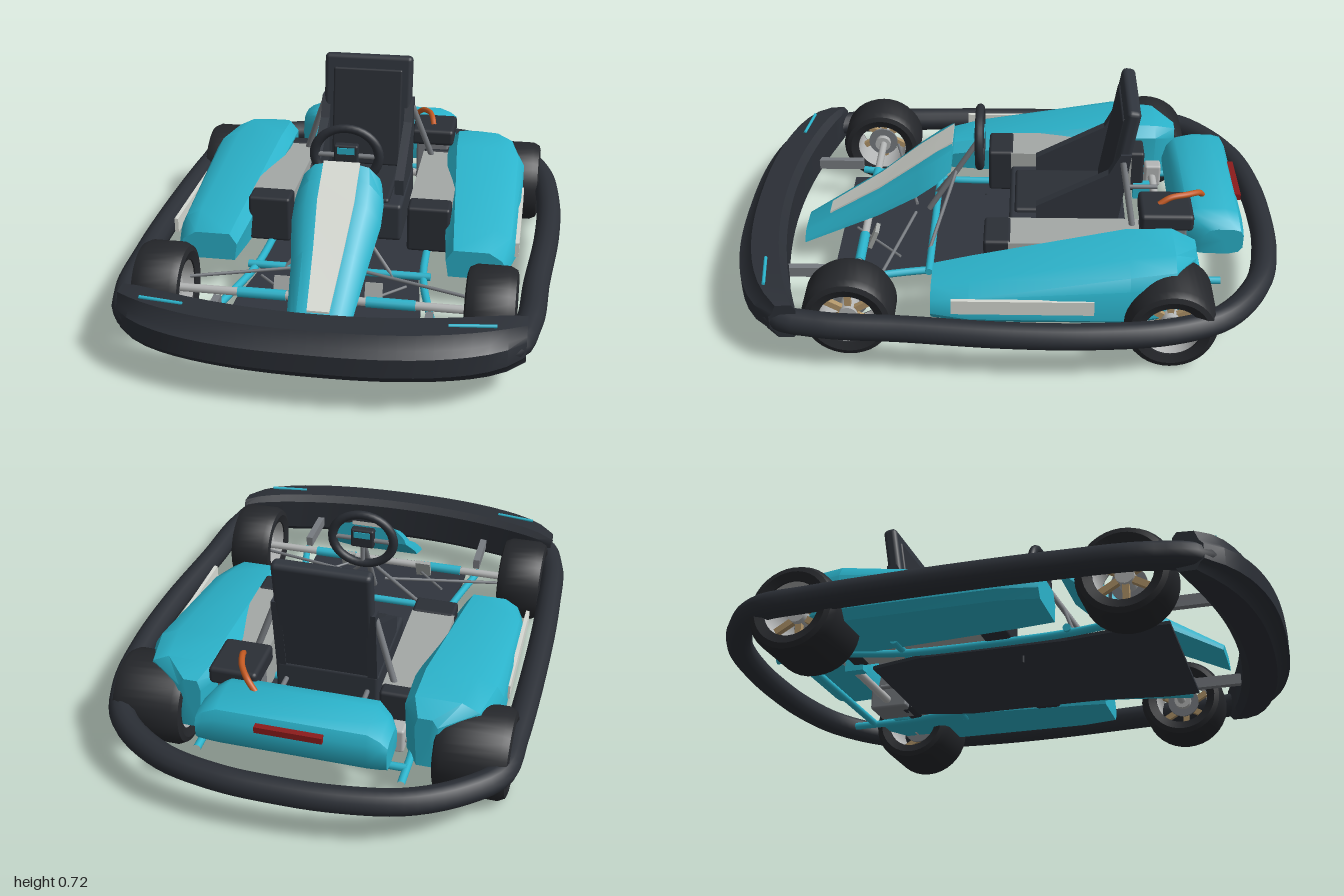
import * as THREE from 'three';
import { toCreasedNormals } from 'three/addons/utils/BufferGeometryUtils.js';
import { RoundedBoxGeometry } from 'three/addons/geometries/RoundedBoxGeometry.js';

const paint = (color) => new THREE.MeshStandardMaterial({ color });
const M = {
  cyan: paint(0x2bb3cb), black: paint(0x2b2f36), tyre: paint(0x25272b), seat: paint(0x30353d),
  grey: paint(0x777b80), steel: paint(0xb4b6b6), white: paint(0xd6d9d2), tan: paint(0xb09468),
  orange: paint(0xc45a22), red: paint(0x8c1c1c), panel: paint(0xa4a8a6),
};
const V = (x, y, z) => new THREE.Vector3(x, y, z);

function add(parent, name, geometry, material, x = 0, y = 0, z = 0) {
  const mesh = new THREE.Mesh(geometry, material);
  mesh.name = name;
  mesh.position.set(x, y, z);
  parent.add(mesh);
  return mesh;
}

// Box given by its minimum and maximum corners, with optional rounding
function box(parent, name, mat, [x0, x1], [y0, y1], [z0, z1], r = 0) {
  const w = x1 - x0, h = y1 - y0, d = z1 - z0;
  const g = r ? new RoundedBoxGeometry(w, h, d, 2, r) : new THREE.BoxGeometry(w, h, d);
  return add(parent, name, g, mat, (x0 + x1) / 2, (y0 + y1) / 2, (z0 + z1) / 2);
}

// Straight rod between two points
function rod(parent, name, mat, a, b, r) {
  const mesh = add(parent, name, new THREE.CylinderGeometry(r, r, a.distanceTo(b), 10), mat);
  mesh.position.copy(a).lerp(b, 0.5);
  mesh.quaternion.setFromUnitVectors(V(0, 1, 0), b.clone().sub(a).normalize());
  return mesh;
}

function pipe(parent, name, mat, points, r, closed = false, steps = 40) {
  const curve = new THREE.CatmullRomCurve3(points, closed, 'centripetal');
  return add(parent, name, new THREE.TubeGeometry(curve, steps, r, 12, closed), mat);
}

// Capped solid through rings of equal point count, always facing outwards
function loft(rings, crease = 0.6) {
  const tris = [], n = rings[0].length;
  for (let i = 0; i < rings.length - 1; i++) {
    for (let j = 0; j < n; j++) {
      const k = (j + 1) % n, [a, b, c, d] = [rings[i][j], rings[i][k], rings[i + 1][k], rings[i + 1][j]];
      tris.push([a, b, c], [a, c, d]);
    }
  }
  for (const [ring, flip] of [[rings[0], true], [rings.at(-1), false]]) {
    const mid = ring.reduce((s, p) => s.add(p), V(0, 0, 0)).divideScalar(n);
    ring.forEach((p, j) => tris.push(flip ? [mid, ring[(j + 1) % n], p] : [mid, p, ring[(j + 1) % n]]));
  }
  const volume = tris.reduce((s, [a, b, c]) => s + a.dot(b.clone().cross(c)), 0);
  const pts = tris.flatMap(([a, b, c]) => (volume < 0 ? [a, c, b] : [a, b, c]));
  return toCreasedNormals(new THREE.BufferGeometry().setFromPoints(pts), crease);
}

function wheel(parent, name, x, z, width, side) {
  const g = new THREE.Group(), h = width / 2, r = 0.16;
  g.name = name;
  g.position.set(x, 0.161, z);
  g.rotation.z = -side * Math.PI / 2;
  parent.add(g);
  const profile = [[0.1, -h + 0.01], [0.13, -h], [0.148, -h + 0.006], [r, -h + 0.03], [r, h - 0.03],
    [0.148, h - 0.006], [0.13, h], [0.1, h - 0.01], [0.1, -h + 0.01]].map(([a, b]) => new THREE.Vector2(a, b));
  add(g, 'tyre', toCreasedNormals(new THREE.LatheGeometry(profile, 36), 0.6), M.tyre);
  const rim = M.steel.clone();
  rim.side = THREE.DoubleSide;
  add(g, 'rimBarrel', new THREE.CylinderGeometry(0.099, 0.099, width - 0.03, 32, 1, true), rim);
  add(g, 'hub', new THREE.CylinderGeometry(0.032, 0.032, width * 0.6, 16), M.steel);
  add(g, 'brakeDisc', new THREE.CylinderGeometry(0.06, 0.06, 0.008, 24), M.grey, 0, -h * 0.3, 0);
  for (let i = 0; i < 6; i++) {
    const a = i * Math.PI / 3;
    const spoke = add(g, 'spoke', new THREE.BoxGeometry(0.075, 0.02, 0.022), M.tan, Math.cos(a) * 0.063, h * 0.35, -Math.sin(a) * 0.063);
    spoke.rotation.y = a;
  }
}

function addBumpers(root) {
  // Ring around the sides and back
  const ring = [[0, -0.955], [-0.2, -0.945], [-0.42, -0.9], [-0.58, -0.81], [-0.69, -0.69], [-0.71, -0.5], [-0.722, 0],
    [-0.715, 0.35], [-0.69, 0.65], [-0.62, 0.8], [0, 0.9], [0.62, 0.8], [0.675, 0.65], [0.695, 0.35],
    [0.722, 0], [0.723, -0.3], [0.69, -0.57], [0.61, -0.75], [0.42, -0.89], [0.2, -0.945]];
  pipe(root, 'ringBumper', M.black, ring.map(([x, z]) => V(x, 0.181, z)), 0.046, true, 140);
  // Deep front bumper
  const rings = [];
  for (let i = 0; i <= 24; i++) {
    const t = i / 12 - 1, u = Math.abs(t), x = t * 0.675;
    const zo = 0.995 - 0.14 * u ** 2.6 - 0.05 * u ** 10, zi = 0.825 - 0.115 * u ** 2;
    const e = 1 - 0.2 * u ** 12, y = (v) => 0.19 + (v - 0.19) * e, d = zo - zi;
    rings.push([[zi, 0.13], [zi + d * 0.15, 0.105], [zo - d * 0.28, 0.105], [zo - d * 0.14, 0.137], [zo, 0.15],
      [zo, 0.215], [zo - d * 0.14, 0.232], [zo - d * 0.28, 0.274], [zi + d * 0.15, 0.278], [zi, 0.255]]
      .map(([z, v]) => V(x, y(v), z)));
  }
  add(root, 'frontBumper', loft(rings, 0.7), M.black);
  for (const s of [1, -1]) {
    rod(root, 'bumperLightStrip', M.cyan, V(s * 0.43, 0.277, 0.852), V(s * 0.58, 0.277, 0.832), 0.006);
  }
}

function addSide(kart, s) {
  // Side pod
  const pod = [[0.265, 0.385, 0.605, 0.235], [0.13, 0.37, 0.633, 0.262], [-0.42, 0.325, 0.635, 0.357],
    [-0.58, 0.325, 0.6, 0.357], [-0.66, 0.375, 0.46, 0.33]];
  add(kart, 'sidePod', loft(pod.map(([z, xi, xo, t]) => {
    const w = xo - xi;
    return [[xi + 0.01, 0.13], [xi, t - 0.04], [xi + w * 0.12, t], [xo - w * 0.3, t], [xo - w * 0.08, t - 0.03],
      [xo, t - 0.07], [xo, 0.16], [xo - w * 0.1, 0.13]].map(([x, y]) => V(s * x, y, z));
  })), M.cyan);
  const strip = box(kart, 'podSideStrip', M.white, [-0.007, 0.007], [0.19, 0.245], [-0.3, 0.19]);
  strip.position.x = s * 0.635;

  // Side battery with dark end caps
  const span = s > 0 ? [0.222, 0.382] : [-0.382, -0.222];
  box(kart, 'batteryCase', M.panel, span, [0.135, 0.303], [-0.48, 0.0]);
  box(kart, 'batteryFrontCap', M.black, span, [0.13, 0.308], [-0.01, 0.088], 0.012);
  box(kart, 'batteryRearCap', M.black, span, [0.13, 0.308], [-0.53, -0.47], 0.012);

  // Frame rail and front end
  pipe(kart, 'frameRail', M.cyan, [V(s * 0.375, 0.125, 0.61), V(s * 0.31, 0.125, 0.3), V(s * 0.298, 0.125, 0.1),
    V(s * 0.305, 0.125, -0.3), V(s * 0.355, 0.13, -0.55), V(s * 0.358, 0.13, -0.77)], 0.014);
  rod(kart, 'axleSleeve', M.cyan, V(s * 0.14, 0.16, 0.545), V(s * 0.31, 0.16, 0.545), 0.019);
  rod(kart, 'tieRod', M.grey, V(s * 0.5, 0.17, 0.48), V(s * 0.03, 0.19, 0.36), 0.006);
  rod(kart, 'steeringArm', M.grey, V(s * 0.26, 0.15, 0.4), V(s * 0.08, 0.15, 0.58), 0.005);
  box(kart, 'bumperMount', M.grey, [s * 0.365 - 0.013, s * 0.365 + 0.013], [0.14, 0.18], [0.61, 0.86]);
  box(kart, 'pedal', M.panel, [s * 0.16 - 0.03, s * 0.16 + 0.03], [0.13, 0.21], [0.5, 0.515]).rotation.x = -0.4;

  // Seat bolster, stay and rear mount
  const wing = new THREE.Shape([[0.1, 0.33], [0.36, 0.47], [0.4, 0.55], [0.44, 0.55], [0.4, 0.26], [0.1, 0.26]]
    .map(([a, b]) => new THREE.Vector2(a, b)));
  const bolster = new THREE.ExtrudeGeometry(wing, { depth: 0.035, bevelEnabled: false });
  bolster.rotateY(Math.PI / 2);
  add(kart, 'seatBolster', bolster, M.seat, s * 0.168 - 0.0175);
  rod(kart, 'seatStay', M.grey, V(s * 0.18, 0.52, -0.41), V(s * 0.26, 0.29, -0.45), 0.012);
  rod(kart, 'seatMount', M.grey, V(s * 0.15, 0.2, -0.36), V(s * 0.15, 0.2, -0.58), 0.009);

  wheel(kart, 'frontWheel', s * 0.567, 0.548, 0.172, s);
  wheel(kart, 'rearWheel', s * 0.57, -0.563, 0.255, s);
}

function addChassis(kart) {
  // Floor pan, drawn as a plan and laid flat
  const half = [[0.325, 0.64], [0.325, 0.52], [0.29, 0.28], [0.29, -0.25], [0.24, -0.45]];
  const plan = [...half, ...half.map(([x, z]) => [-x, z]).reverse()].map(([x, z]) => new THREE.Vector2(x, -z));
  const floor = new THREE.ExtrudeGeometry(new THREE.Shape(plan), { depth: 0.012, bevelEnabled: false });
  floor.rotateX(-Math.PI / 2);
  add(kart, 'floorPan', floor, M.seat, 0, 0.106, 0);
  for (const [z, x] of [[0.29, 0.335], [-0.31, 0.4], [-0.69, 0.36]]) {
    rod(kart, 'crossTube', M.cyan, V(-x, 0.135, z), V(x, 0.135, z), 0.014);
  }
  rod(kart, 'frontAxle', M.steel, V(-0.52, 0.16, 0.545), V(0.52, 0.16, 0.545), 0.015);
  rod(kart, 'rearAxle', M.steel, V(-0.52, 0.163, -0.57), V(0.52, 0.163, -0.57), 0.016);
  box(kart, 'axleBearing', M.steel, [-0.33, -0.275], [0.12, 0.215], [-0.605, -0.54], 0.01);
  box(kart, 'axleBracket', M.cyan, [-0.24, -0.2], [0.11, 0.17], [-0.56, -0.49]);
  rod(kart, 'floorPin', M.black, V(-0.205, 0.08, 0.1), V(-0.205, 0.12, 0.1), 0.005);
}

function addSeat(kart) {
  box(kart, 'seatBase', M.seat, [-0.19, 0.19], [0.12, 0.27], [-0.4, 0.0], 0.015);
  box(kart, 'seatCushion', M.black, [-0.14, 0.14], [0.25, 0.285], [-0.37, -0.02], 0.012);
  const back = new THREE.Group();
  back.name = 'seatBack';
  back.position.set(0, 0.24, -0.365);
  back.rotation.x = -0.16;
  kart.add(back);
  box(back, 'backShell', M.seat, [-0.176, 0.176], [0, 0.485], [-0.027, 0.025], 0.018);
  box(back, 'backPad', M.black, [-0.138, 0.138], [0.04, 0.432], [0.01, 0.032], 0.008);
}

function addSteering(kart) {
  const steering = new THREE.Group();
  steering.name = 'steeringWheel';
  steering.position.set(0, 0.513, 0.11);
  kart.add(steering);
  add(steering, 'wheelRim', new THREE.TorusGeometry(0.104, 0.016, 10, 36), M.black).scale.x = 1.14;
  for (const a of [0, Math.PI, -Math.PI / 2]) {
    rod(steering, 'wheelSpoke', M.grey, V(0, 0, 0), V(Math.cos(a) * 0.108, Math.sin(a) * 0.1, 0), 0.009);
  }
  box(steering, 'wheelHub', M.black, [-0.045, 0.045], [-0.03, 0.045], [-0.015, 0.02], 0.008);
  box(steering, 'display', M.cyan, [-0.032, 0.032], [0.012, 0.036], [-0.018, 0.024]);
  rod(kart, 'steeringColumn', M.grey, V(0, 0.5, 0.115), V(0, 0.19, 0.31), 0.011);
  for (const s of [1, -1]) rod(kart, 'columnBrace', M.grey, V(0, 0.37, 0.2), V(s * 0.2, 0.13, 0.3), 0.007);
}

function addNose(kart) {
  // Sloping fairing: z, half width, crest height, side drop
  const stations = [[0.212, 0.145, 0.522, 0.07], [0.27, 0.16, 0.485, 0.085], [0.34, 0.16, 0.432, 0.085],
    [0.49, 0.133, 0.315, 0.07], [0.785, 0.097, 0.125, 0.035]];
  add(kart, 'noseFairing', loft(stations.map(([z, w, y, d]) => [[-1, d], [-0.95, d * 0.7], [-0.68, d * 0.12], [-0.42, 0],
    [0.42, 0], [0.68, d * 0.12], [0.95, d * 0.7], [1, d]].map(([k, q]) => V(k * w, y - q, z)))), M.cyan);
  const stripe = [[0.21, 0.066, 0.523], [0.34, 0.066, 0.432], [0.49, 0.053, 0.315], [0.69, 0.038, 0.186]];
  add(kart, 'noseStripe', loft(stripe.map(([z, w, y]) => [V(-w, y - 0.01, z), V(-w, y + 0.007, z),
    V(w, y + 0.007, z), V(w, y - 0.01, z)])), M.white);
}

function addRear(kart) {
  // Rear cowl, drawn in at both ends
  const profile = [[-0.61, 0.21], [-0.6, 0.27], [-0.615, 0.33], [-0.645, 0.365], [-0.69, 0.375], [-0.78, 0.375],
    [-0.825, 0.362], [-0.843, 0.33], [-0.843, 0.25], [-0.82, 0.22], [-0.76, 0.205]];
  const ends = [[-0.325, 0.62], [-0.3, 0.82], [-0.255, 1], [0.255, 1], [0.3, 0.82], [0.325, 0.62]];
  add(kart, 'rearCowl', loft(ends.map(([x, k]) => profile.map(([z, y]) =>
    V(x, 0.26 + (y - 0.26) * k, -0.843 + (z + 0.843) * k))), 0.7), M.cyan);
  box(kart, 'rearLight', M.red, [-0.115, 0.115], [0.32, 0.343], [-0.858, -0.835]);

  // Motor unit and its cable
  box(kart, 'motorCover', M.black, [0.17, 0.342], [0.33, 0.396], [-0.66, -0.47], 0.015);
  box(kart, 'motor', M.grey, [0.19, 0.32], [0.13, 0.34], [-0.64, -0.49], 0.01);
  pipe(kart, 'powerCable', M.orange, [V(0.255, 0.39, -0.54), V(0.245, 0.412, -0.58), V(0.225, 0.413, -0.64),
    V(0.19, 0.4, -0.69), V(0.155, 0.365, -0.71)], 0.011);
}

export function createModel() {
  const root = new THREE.Group();
  root.name = 'kart';
  const kart = new THREE.Group();
  kart.name = 'kartBody';
  kart.position.x = -0.017;
  root.add(kart);
  addBumpers(root);
  addChassis(kart);
  for (const s of [1, -1]) addSide(kart, s);
  addSeat(kart);
  addSteering(kart);
  addNose(kart);
  addRear(kart);
  return root;
}
